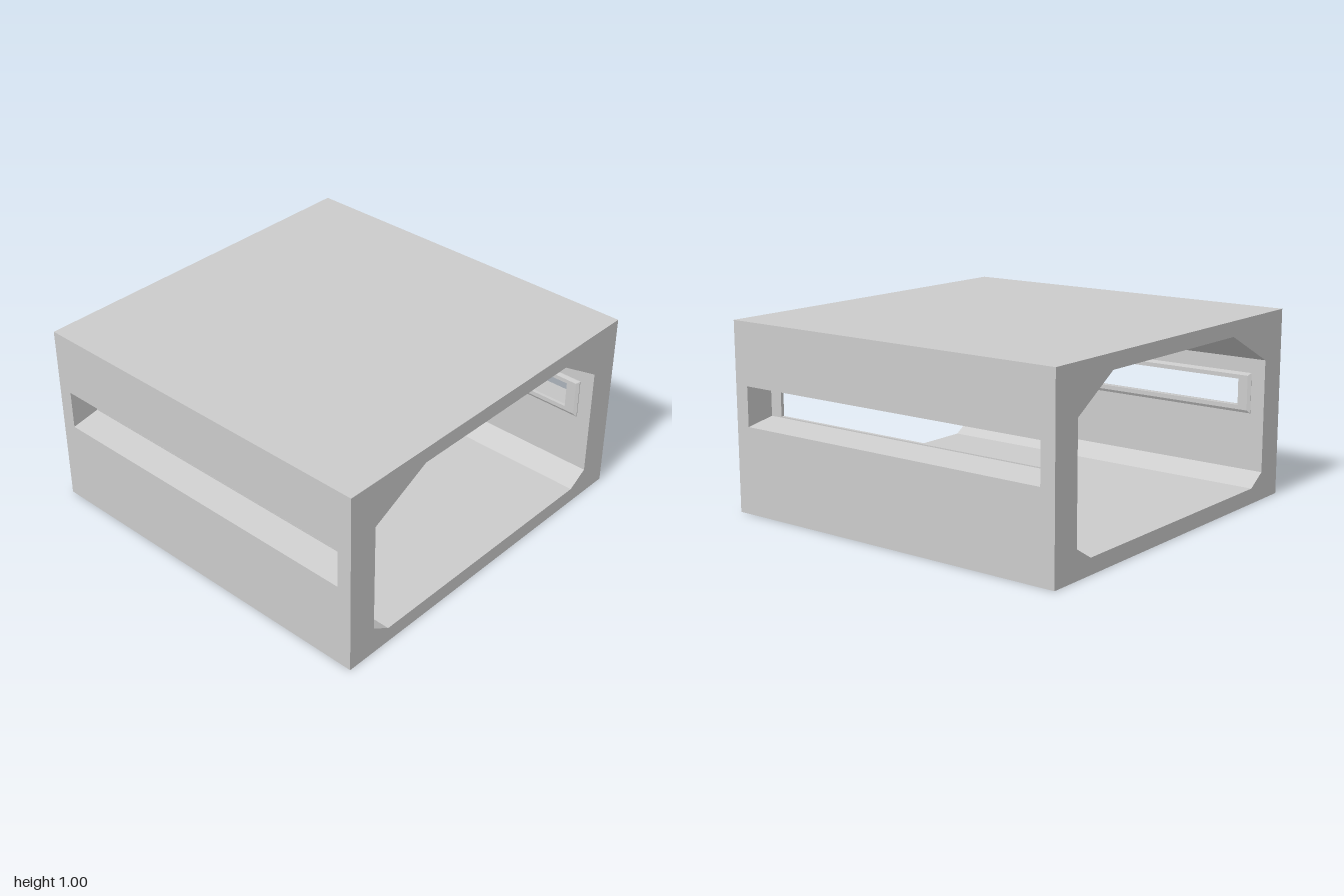
import * as THREE from 'three';

const material = new THREE.MeshStandardMaterial({ color: 0xcccccc, flatShading: true });

// Extrudes a [z, y] profile along x, centred on the given x.
function slab(name, points, holePoints, width, x) {
  const toVectors = (list) => list.map(([z, y]) => new THREE.Vector2(z, y));
  const shape = new THREE.Shape(toVectors(points));
  if (holePoints) shape.holes.push(new THREE.Path(toVectors(holePoints)));
  const geometry = new THREE.ExtrudeGeometry(shape, { depth: width, bevelEnabled: false });
  geometry.translate(0, 0, -width / 2);
  geometry.rotateY(-Math.PI / 2);
  const mesh = new THREE.Mesh(geometry, material);
  mesh.name = name;
  mesh.position.x = x;
  return mesh;
}

// Joins rectangles [half width, bottom, top, z] into a closed ring.
function rectangleRing(sections) {
  const corners = sections.map(([w, low, high, z]) => [[w, low, z], [w, high, z], [-w, high, z], [-w, low, z]]);
  const positions = [];
  corners.forEach((from, i) => {
    const to = corners[(i + 1) % corners.length];
    for (let j = 0; j < 4; j++) {
      const k = (j + 1) % 4;
      positions.push(...from[j], ...to[j], ...to[k], ...from[j], ...to[k], ...from[k]);
    }
  });
  const geometry = new THREE.BufferGeometry();
  geometry.setAttribute('position', new THREE.Float32BufferAttribute(positions, 3));
  geometry.computeVertexNormals();
  return geometry;
}

export function createModel() {
  const model = new THREE.Group();
  model.name = 'bunker';

  const front = 0.838, back = -0.834; // inner wall faces
  const slotHalf = 0.92;
  const ceiling = [[front, 0.75], [0.5, 0.92], [-0.565, 0.92], [back, 0.75]];
  const floor = [[back, 0.15], [-0.725, 0.083], [0.735, 0.083], [front, 0.15]];

  // Roof and base, with the sloping lips of the two slots
  model.add(slab('roof', [
    [1, 0.67], [1, 1], [-1, 1], [-1, 0.67], [back, 0.64],
    ...[...ceiling].reverse(), [front, 0.64],
  ], null, slotHalf * 2, 0));
  model.add(slab('base', [
    [1, 0.46], [1, 0], [-1, 0], [-1, 0.46], [back, 0.49],
    ...floor, [front, 0.49],
  ], null, slotHalf * 2, 0));

  // Closed rings at both open ends
  for (const side of [-1, 1]) {
    model.add(slab(side > 0 ? 'leftEnd' : 'rightEnd',
      [[1, 0], [1, 1], [-1, 1], [-1, 0]], [...ceiling, ...floor],
      1 - slotHalf, side * (1 + slotHalf) / 2));
  }

  // Bevelled window frames on the inner walls
  const frameGeometry = rectangleRing([
    [0.922, 0.457, 0.673, 0.845],
    [0.922, 0.457, 0.673, 0.836],
    [0.905, 0.472, 0.658, 0.827],
    [0.85, 0.495, 0.636, 0.827],
    [0.85, 0.495, 0.636, 0.845],
  ]);
  const frontFrame = new THREE.Mesh(frameGeometry, material);
  frontFrame.name = 'frontSlotFrame';
  const backFrame = new THREE.Mesh(frameGeometry, material);
  backFrame.name = 'backSlotFrame';
  backFrame.rotation.y = Math.PI;
  backFrame.position.z = 0.007;
  model.add(frontFrame, backFrame);

  return model;
}
